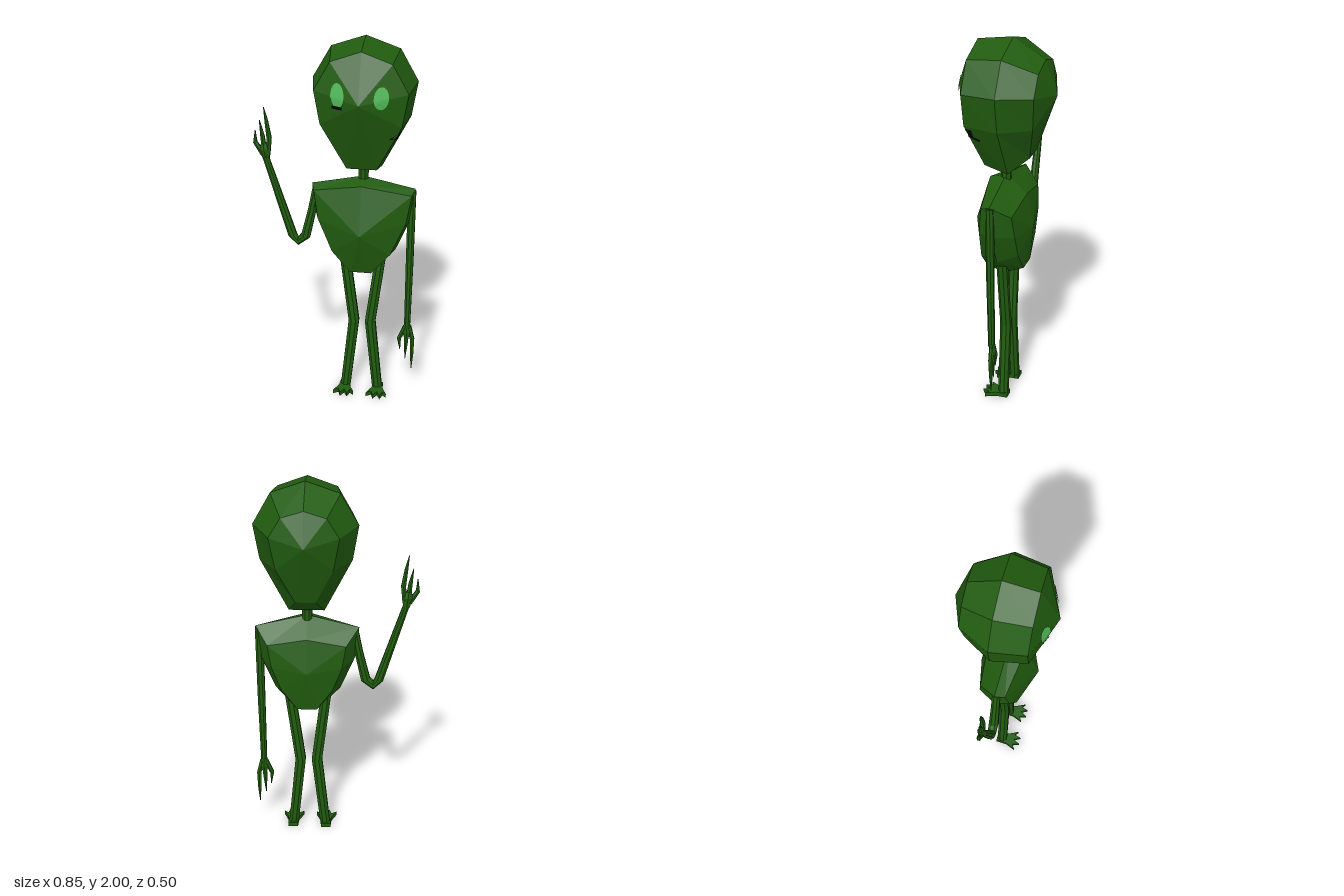
import * as THREE from 'three';

const CX = 0.14; // centre line of the body
const green = new THREE.MeshStandardMaterial({ name: 'skin green', color: 0x215c0f, flatShading: true });
const eyeGreen = new THREE.MeshStandardMaterial({ name: 'eye green', color: 0x52b95a });
const black = new THREE.MeshStandardMaterial({ name: 'black', color: 0x050505 });

// Faceted skin over a row of rings, closed at both ends by a point
function loft(rings, start, end) {
  const pos = [];
  const tri = (...pts) => pts.forEach((p) => pos.push(...p));
  const n = rings[0].length;
  const last = rings[rings.length - 1];
  for (let i = 0; i < n; i++) {
    const j = (i + 1) % n;
    tri(start, rings[0][j], rings[0][i]);
    for (let k = 0; k + 1 < rings.length; k++) {
      const [f, b] = [rings[k], rings[k + 1]];
      tri(f[i], f[j], b[j]);
      tri(f[i], b[j], b[i]);
    }
    tri(end, last[i], last[j]);
  }
  const g = new THREE.BufferGeometry();
  g.setAttribute('position', new THREE.Float32BufferAttribute(pos, 3));
  g.computeVertexNormals();
  return g;
}

// Mirrored outline: first point is on the centre line, the rest run down the side
function ring(half) {
  const right = half.map(([x, y, z]) => [CX + x, y, z]);
  const left = half.slice(1).reverse().map(([x, y, z]) => [CX - x, y, z]);
  return [...right, ...left];
}

// Tapered, bent limb through [x, y, radius] points in an upright plane
function limb(points, z = 0, sides = 6) {
  const rings = points.map(([x, y, r], i) => {
    const a = points[Math.max(i - 1, 0)];
    const b = points[Math.min(i + 1, points.length - 1)];
    const d = new THREE.Vector2(b[0] - a[0], b[1] - a[1]).normalize();
    return Array.from({ length: sides }, (_, k) => {
      const t = ((k + 0.5) / sides) * Math.PI * 2;
      const c = Math.cos(t) * r;
      return [x - d.y * c, y + d.x * c, z + Math.sin(t) * r];
    });
  });
  const s = points[0], e = points[points.length - 1];
  return loft(rings, [s[0], s[1], z], [e[0], e[1], z]);
}

// Lay a flat shape onto a surface by casting its points along an axis
function drape(geometry, target, axis, lift) {
  const p = geometry.attributes.position;
  const v = new THREE.Vector3();
  const ray = new THREE.Raycaster();
  for (let i = 0; i < p.count; i++) {
    v.fromBufferAttribute(p, i);
    v[axis] = 2;
    const dir = new THREE.Vector3();
    dir[axis] = -1;
    ray.set(v, dir);
    const hit = ray.intersectObject(target)[0];
    if (hit) v[axis] = hit.point[axis] + lift;
    p.setXYZ(i, v.x, v.y, v.z);
  }
  geometry.computeVertexNormals();
  return geometry;
}

export function createModel() {
  const model = new THREE.Group();
  model.name = 'alien';
  const add = (name, geometry, material = green, parent = model) => {
    const m = new THREE.Mesh(geometry, material);
    m.name = name;
    parent.add(m);
    return m;
  };

  // Head: front, middle and back outlines
  const head = add('head', loft([
    ring([[0, 1.97, 0.15], [0.15, 1.915, 0.15], [0.23, 1.77, 0.15], [0.2, 1.6, 0.15], [0.075, 1.35, 0.095]]),
    ring([[0, 2, -0.03], [0.17, 1.94, -0.03], [0.26, 1.78, -0.03], [0.23, 1.6, -0.03], [0.09, 1.325, -0.03]]),
    ring([[0, 1.905, -0.19], [0.11, 1.87, -0.19], [0.17, 1.77, -0.19], [0.14, 1.6, -0.175], [0.05, 1.41, -0.13]]),
  ], [CX, 1.735, 0.25], [CX, 1.735, -0.25]));

  // Torso
  add('torso', loft([
    ring([[0, 1.255, 0.095], [0.25, 1.2, 0.05], [0.225, 1.05, 0.07], [0.15, 0.88, 0.09], [0.055, 0.77, 0.095]]),
    ring([[0, 1.28, 0.01], [0.265, 1.22, 0], [0.245, 1.05, 0], [0.17, 0.87, 0], [0.06, 0.75, 0]]),
    ring([[0, 1.19, -0.1], [0.2, 1.15, -0.09], [0.18, 1.03, -0.1], [0.13, 0.9, -0.1], [0.05, 0.79, -0.1]]),
  ], [CX, 1.01, 0.17], [CX, 1.01, -0.135]));

  // Neck
  add('neck', limb([[CX, 1.22, 0.027], [CX, 1.37, 0.027]], 0.01, 8));

  // Eyes
  for (const [name, x, y, rx, ry] of [['rightEye', 0.033, 1.765, 0.034, 0.062], ['leftEye', 0.245, 1.763, 0.035, 0.055]]) {
    const disc = new THREE.RingGeometry(0.001, 1, 20, 4).scale(rx, ry, 1).translate(x, y, 0);
    add(name, drape(disc, head, 'z', 0.006), eyeGreen);
  }

  // Small dark marks on the face
  const underEye = new THREE.PlaneGeometry(0.05, 0.016, 4, 2).translate(0.032, 1.708, 0);
  add('underEyeMark', drape(underEye, head, 'z', 0.008), black);
  for (const [w, h, y, z, tilt] of [[0.035, 0.05, 1.56, 0.127, 0], [0.06, 0.015, 1.533, 0.105, -0.3]]) {
    const mark = new THREE.PlaneGeometry(w, h, 4, 4).rotateZ(tilt).rotateY(Math.PI / 2).translate(0, y, z);
    add('cheekMark', drape(mark, head, 'x', 0.004), black);
  }

  // Legs and feet
  const footOutline = [
    [-0.026, -0.03], [0.026, -0.03], [0.03, 0.03], [0.055, 0.085], [0.034, 0.068], [0.022, 0.105],
    [0.004, 0.07], [-0.016, 0.105], [-0.028, 0.068], [-0.055, 0.085], [-0.03, 0.03],
  ];
  for (const [side, s] of [['left', 1], ['right', -1]]) {
    const at = (d) => CX + s * d;
    add(side + 'Leg', limb([[at(0.096), 0.84, 0.029], [at(0.044), 0.43, 0.03], [at(0.088), 0.005, 0.028]], 0, 8));
    const shape = new THREE.Shape(footOutline.map(([x, z]) => new THREE.Vector2(x, -z)));
    const foot = new THREE.ExtrudeGeometry(shape, { depth: 0.024, bevelEnabled: false });
    add(side + 'Foot', foot.rotateX(-Math.PI / 2).translate(at(0.09), 0, 0));
  }

  // Raised right arm and lowered left arm
  const arms = {
    right: {
      arm: [[-0.1, 1.2, 0.022], [-0.125, 1.07, 0.023], [-0.16, 0.92, 0.026], [-0.2, 0.885, 0.024], [-0.23, 0.92, 0.024], [-0.362, 1.35, 0.017]],
      palm: [[-0.36, 1.34, 0.02], [-0.367, 1.39, 0.027], [-0.37, 1.42, 0.018]],
      fingers: [
        [[-0.352, 1.36, 0.014], [-0.343, 1.45, 0.014], [-0.355, 1.54, 0.01], [-0.368, 1.615, 0.002]],
        [[-0.367, 1.37, 0.014], [-0.377, 1.46, 0.012], [-0.391, 1.545, 0.002]],
        [[-0.375, 1.36, 0.014], [-0.415, 1.425, 0.012], [-0.414, 1.49, 0.002]],
      ],
    },
    left: {
      arm: [[0.388, 1.21, 0.022], [0.386, 0.8, 0.021], [0.383, 0.41, 0.017]],
      palm: [[0.382, 0.425, 0.019], [0.382, 0.38, 0.026], [0.382, 0.35, 0.017]],
      fingers: [
        [[0.393, 0.41, 0.014], [0.412, 0.335, 0.013], [0.412, 0.24, 0.01], [0.411, 0.15, 0.002]],
        [[0.383, 0.4, 0.014], [0.379, 0.31, 0.012], [0.376, 0.21, 0.002]],
        [[0.373, 0.41, 0.014], [0.341, 0.335, 0.012], [0.347, 0.265, 0.002]],
      ],
    },
  };
  for (const [side, { arm, palm, fingers }] of Object.entries(arms)) {
    add(side + 'Arm', limb(arm, 0.005, 8));
    const hand = new THREE.Group();
    hand.name = side + 'Hand';
    model.add(hand);
    add('palm', limb(palm), green, hand).scale.z = 0.8;
    fingers.forEach((f) => add('finger', limb(f), green, hand));
  }
  return model;
}
